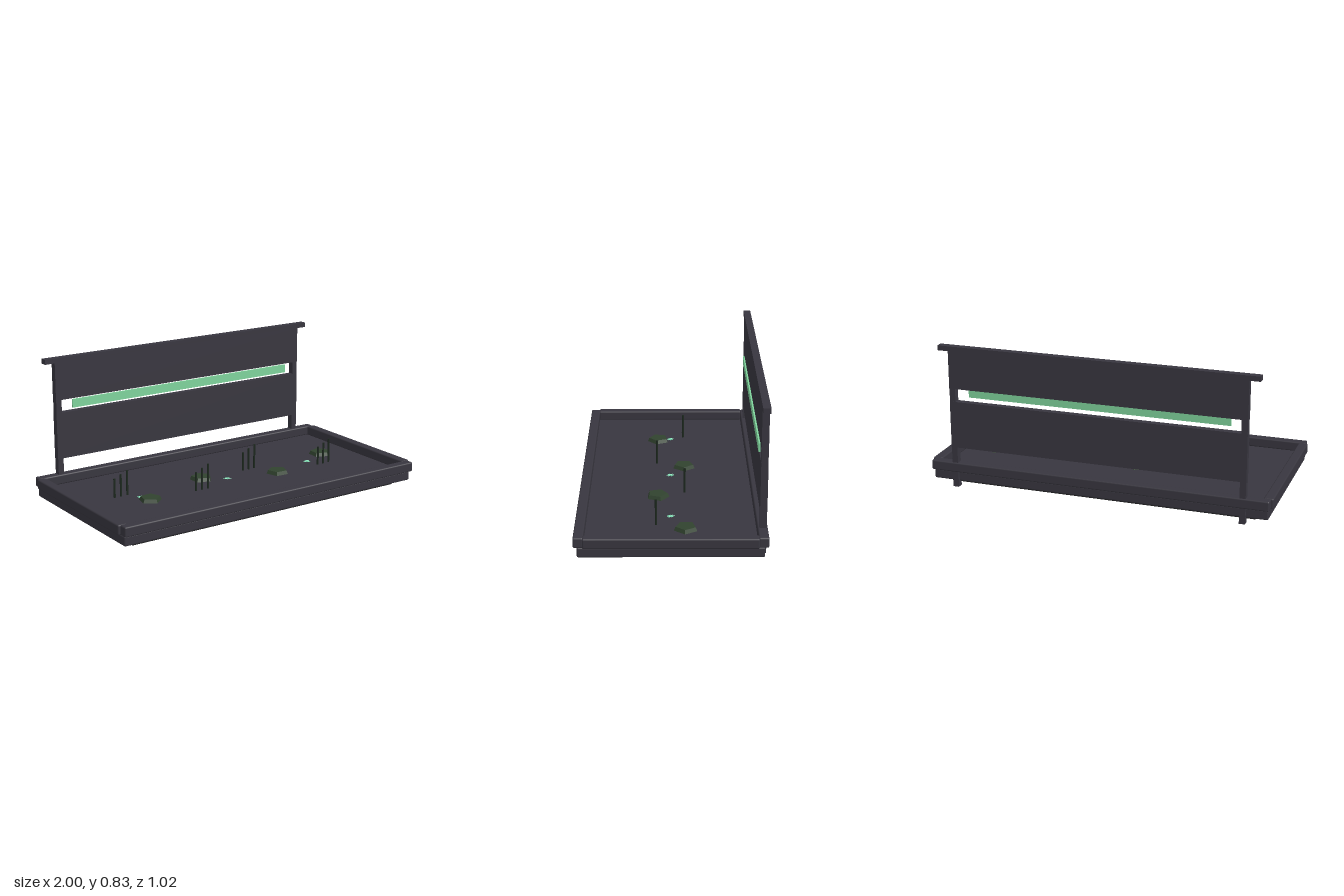
import * as THREE from 'three';
import { RoundedBoxGeometry } from 'three/addons/geometries/RoundedBoxGeometry.js';

const mat = (name, color, extra = {}) => {
  const m = new THREE.MeshStandardMaterial({ color, ...extra });
  m.name = name;
  return m;
};

export function createModel() {
  const root = new THREE.Group();
  root.name = 'platformWithBackWall';
  const frame = mat('charcoal', 0x38363f);
  const under = mat('blackStone', 0x2a2a2b);
  const earth = mat('darkEarth', 0x353122);
  const glow = mat('softGreen', 0x7fd49c);
  const moss = mat('mossGreen', 0x31432f, { flatShading: true });
  const stem = mat('darkStem', 0x1e2a20);
  const spark = mat('mint', 0x7de0b4, { flatShading: true });

  const add = (name, geo, material, x, y, z) => {
    const mesh = new THREE.Mesh(geo, material);
    mesh.name = name;
    mesh.position.set(x, y, z);
    root.add(mesh);
    return mesh;
  };
  // Boxes given by their limits: x0, x1, y0, y1, z0, z1; r rounds the edges
  const box = (name, material, [x0, x1, y0, y1, z0, z1], r = 0) => {
    const s = [x1 - x0, y1 - y0, z1 - z0];
    const geo = r ? new RoundedBoxGeometry(...s, 2, r) : new THREE.BoxGeometry(...s);
    return add(name, geo, material, (x0 + x1) / 2, (y0 + y1) / 2, (z0 + z1) / 2);
  };

  // Stepped base
  box('bottomSlab', under, [-0.9, 0.9, 0.003, 0.03, -0.43, 0.43], 0.006);
  box('floorSlab', frame, [-0.98, 0.98, 0.033, 0.089, -0.49, 0.49], 0.008);

  // Raised rim
  for (const s of [-1, 1]) {
    const z = s * 0.483, x = s * 0.9725;
    box('rimLong', frame, [-0.987, 0.987, 0.09, 0.147, z - 0.027, z + 0.027], 0.008);
    box('rimShort', frame, [x - 0.0275, x + 0.0275, 0.09, 0.147, -0.46, 0.46], 0.008);
  }

  // Back wall: posts, two panels and a cap
  for (const s of [-1, 1]) {
    box('post', frame, [s * 0.841 - 0.017, s * 0.841 + 0.017, 0, 0.81, -0.504, -0.467]);
  }
  box('lowerPanel', frame, [-0.859, 0.859, 0.24, 0.512, -0.5045, -0.4665]);
  box('upperPanel', frame, [-0.859, 0.859, 0.588, 0.81, -0.5045, -0.4665]);
  box('wallCap', frame, [-0.92, 0.92, 0.806, 0.834, -0.507, -0.465]);
  box('lightStrip', glow, [-0.758, 0.758, 0.534, 0.584, -0.467, -0.458]);

  // Flat five-sided moss stones
  const stoneGeo = new THREE.CylinderGeometry(0.057, 0.067, 0.022, 5);
  [[-0.57, 0.073, 1.35], [-0.13, -0.08, 1.6], [0.31, 0.073, 1.85], [0.75, -0.08, 1.5]].forEach(([x, z, turn]) => {
    add('mossStone', stoneGeo, moss, x, 0.099, z).rotation.y = turn;
  });

  // Rows of three stems, rising to the left
  [[-0.67, -0.08], [-0.23, 0.08], [0.21, -0.08], [0.65, 0.08]].forEach(([cx, z]) => {
    [0.2, 0.218, 0.236].forEach((top, i) => {
      const h = top - 0.085;
      add('stem', new THREE.CylinderGeometry(0.006, 0.006, h, 6), stem, cx + (i - 1) * 0.041, 0.085 + h / 2, z);
    });
  });

  // Small sprouts: low crossed shards
  const shardGeo = new THREE.OctahedronGeometry(1).scale(0.025, 0.006, 0.006);
  for (const x of [-0.587, 0, 0.587]) {
    for (let i = 0; i < 4; i++) {
      add('sproutShard', shardGeo, spark, x, 0.092, 0).rotation.y = (i * Math.PI) / 4 + 0.2;
    }
  }

  // Earth patches on the underside: x, z, half length, half width, turn
  [
    [0, 0.22, 0.15, 0.08, 0.6], [-0.43, 0.225, 0.12, 0.04, 0.2], [0.4, 0.11, 0.06, 0.05, 0],
    [-0.03, -0.36, 0.1, 0.03, 0], [-0.4, -0.34, 0.13, 0.025, 0.2], [-0.72, -0.34, 0.12, 0.025, -0.1],
    [0.62, 0.05, 0.07, 0.025, 0.5], [-0.6, -0.05, 0.08, 0.03, 0.4],
  ].forEach(([x, z, a, b, turn], n) => {
    const pts = [];
    for (let i = 0; i < 18; i++) {
      const t = (i / 18) * Math.PI * 2;
      const w = 1 + 0.22 * Math.sin(3 * t + n) + 0.1 * Math.cos(5 * t + 2 * n);
      pts.push(new THREE.Vector2(a * w * Math.cos(t), b * w * Math.sin(t)));
    }
    const geo = new THREE.ShapeGeometry(new THREE.Shape(pts)).rotateX(Math.PI / 2);
    add('earthPatch', geo, earth, x, 0.0015, z).rotation.y = turn;
  });

  return root;
}
